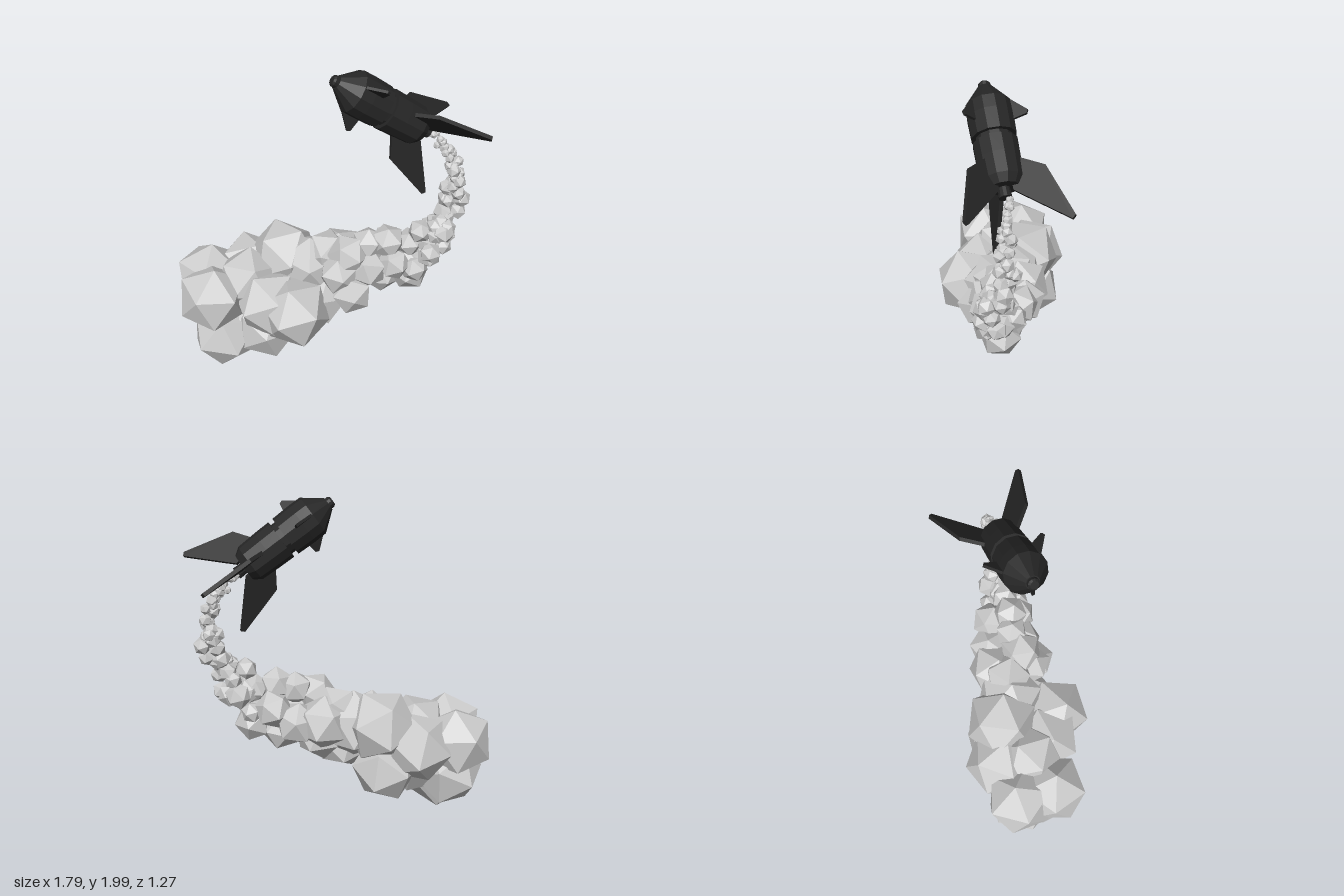
import * as THREE from 'three';

const dark = new THREE.MeshStandardMaterial({ color: 0x262626, flatShading: true });
const grey = new THREE.MeshStandardMaterial({ color: 0xcccccc, flatShading: true });

function seeded(seed) {
  return () => (seed = (seed * 16807) % 2147483647) / 2147483647;
}

// Fin outline given as [radius, distance behind the tip]
function finGeometry(points, thickness) {
  const shape = new THREE.Shape(points.map(([r, t]) => new THREE.Vector2(r, -t)));
  const geo = new THREE.ExtrudeGeometry(shape, { depth: thickness, bevelEnabled: false });
  return geo.translate(0, 0, -thickness / 2);
}

function createRocket() {
  const rocket = new THREE.Group();
  rocket.name = 'rocket';
  const add = (name, geo) => {
    const mesh = new THREE.Mesh(geo, dark);
    mesh.name = name;
    rocket.add(mesh);
    return mesh;
  };

  // Turned sections, each listed from tip to tail as [radius, distance]
  const sections = {
    noseCap: [[0, -0.015], [0.024, -0.015], [0.034, -0.005], [0.034, 0.03], [0, 0.03]],
    noseAndUpperBody: [[0, 0.015], [0.04, 0.015], [0.125, 0.125], [0.127, 0.2], [0.123, 0.32], [0, 0.32]],
    collar: [[0, 0.31], [0.1, 0.31], [0.1, 0.365], [0, 0.365]],
    lowerBody: [[0, 0.35], [0.122, 0.35], [0.12, 0.45], [0.115, 0.57], [0.085, 0.615], [0, 0.615]],
    nozzle: [[0, 0.605], [0.032, 0.605], [0.036, 0.67], [0, 0.67]],
  };
  for (const [name, pts] of Object.entries(sections)) {
    const profile = pts.map(([r, t]) => new THREE.Vector2(r, -t)).reverse();
    add(name, new THREE.LatheGeometry(profile, 12));
  }

  // Three tail fins and three small nose fins
  const tail = finGeometry([[0.05, 0.47], [0.05, 0.64], [0.315, 0.872], [0.335, 0.855], [0.238, 0.55], [0.11, 0.47]], 0.022);
  const small = finGeometry([[0.09, 0.13], [0.09, 0.25], [0.195, 0.235], [0.205, 0.215], [0.125, 0.13]], 0.016);
  for (let i = 0; i < 3; i++) {
    add('tailFin', tail).rotation.y = (i * Math.PI * 2) / 3;
    add('noseFin', small).rotation.y = (i * Math.PI * 2) / 3;
  }

  // Aim the rocket along its flight direction
  const up = new THREE.Vector3(-0.64, 0.565, 0.505).normalize();
  const side = new THREE.Vector3(0.77, 0.51, 0.39);
  side.addScaledVector(up, -side.dot(up)).normalize();
  const third = new THREE.Vector3().crossVectors(side, up);
  rocket.quaternion.setFromRotationMatrix(new THREE.Matrix4().makeBasis(side, up, third));
  rocket.position.set(0.09, 1.967, 0.085);
  return rocket;
}

function createSmoke() {
  const smoke = new THREE.Group();
  smoke.name = 'smokeTrail';
  const rand = seeded(4711);
  const ball = new THREE.IcosahedronGeometry(1, 0);
  const puff = (x, y, z, r) => {
    const mesh = new THREE.Mesh(ball, grey);
    mesh.name = 'smokePuff';
    mesh.position.set(x, y, z);
    mesh.scale.setScalar(r);
    mesh.rotation.set(rand() * 6, rand() * 6, rand() * 6);
    smoke.add(mesh);
  };

  // Large puffs of the cloud: x, y, z, radius
  [
    [-0.57, 0.52, 0.43, 0.22], [-0.53, 0.205, 0.37, 0.225], [-0.69, 0.52, 0.25, 0.225],
    [-0.64, 0.3, 0.25, 0.22], [-0.25, 0.49, 0.3, 0.22], [-0.07, 0.48, 0.3, 0.225],
    [-0.28, 0.27, 0.28, 0.205], [-0.28, 0.65, 0.01, 0.23], [-0.5, 0.53, 0.06, 0.22],
    [-0.32, 0.38, -0.01, 0.21], [-0.1, 0.63, 0.01, 0.215], [0, 0.46, 0.08, 0.185],
    [-0.45, 0.35, 0.2, 0.2], [-0.42, 0.58, 0.24, 0.2],
  ].forEach((p) => puff(...p));

  // Medium puffs
  [
    [0.04, 0.67, -0.13, 0.17], [0.16, 0.78, 0.01, 0.135], [0.09, 0.55, -0.07, 0.16],
    [0.21, 0.56, 0.08, 0.135], [0.18, 0.67, -0.2, 0.14], [0.36, 0.86, -0.12, 0.11],
    [0.27, 0.7, -0.02, 0.13], [0.31, 0.58, -0.16, 0.125], [0.48, 0.62, -0.2, 0.125],
    [0.32, 0.75, -0.24, 0.12], [0.42, 0.74, -0.08, 0.105], [0.25, 0.84, -0.08, 0.105],
    [0.53, 0.7, -0.14, 0.09], [0, 0.72, -0.03, 0.155], [0.13, 0.68, 0.08, 0.13],
    [0.54, 0.95, -0.18, 0.075], [0.47, 0.84, -0.19, 0.09], [0.66, 0.82, -0.27, 0.06],
  ].forEach((p) => puff(...p));

  // Small puffs dwindling along the curve up to the nozzle
  const path = new THREE.CatmullRomCurve3([
    [0.5, 0.74, -0.21], [0.6, 0.88, -0.24], [0.67, 1.03, -0.28], [0.69, 1.18, -0.34],
    [0.662, 1.34, -0.33], [0.605, 1.48, -0.3], [0.53, 1.59, -0.265],
  ].map((p) => new THREE.Vector3(...p)));
  const count = 54;
  for (let i = 0; i < count; i++) {
    const t = i / (count - 1);
    const p = path.getPointAt(t);
    const size = 0.024 + 0.058 * Math.pow(1 - t, 1.15);
    const spread = size * 2;
    const jitter = () => (rand() - 0.5) * spread;
    puff(p.x + jitter(), p.y + jitter() * 0.6, p.z + jitter(), size * (0.8 + rand() * 0.35));
  }
  return smoke;
}

export function createModel() {
  const model = new THREE.Group();
  model.name = 'rocketWithSmoke';
  model.add(createRocket(), createSmoke());
  return model;
}
